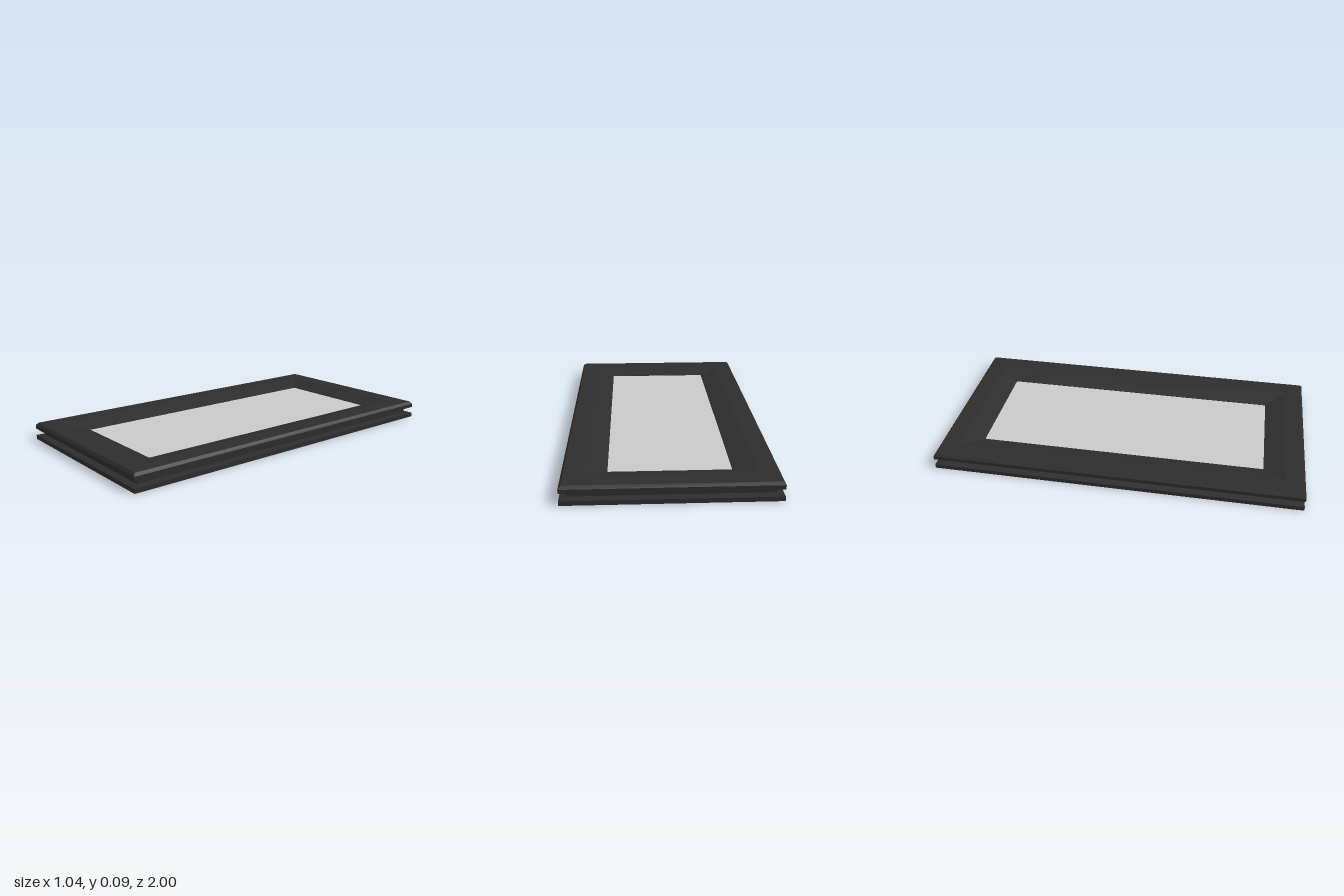
import * as THREE from 'three';

const HALF_W = 0.52, HALF_L = 1.0;

// Sweep a profile of [inset, height] pairs round a rectangle with mitred corners.
function mitredFrame(profile) {
  const corners = [[1, 1], [1, -1], [-1, -1], [-1, 1]];
  const at = ([sx, sz], [inset, y]) => [sx * (HALF_W - inset), y, sz * (HALF_L - inset)];
  const positions = [];
  corners.forEach((c, k) => {
    const next = corners[(k + 1) % 4];
    for (let i = 0; i < profile.length - 1; i++) {
      const a = at(c, profile[i]), b = at(next, profile[i]);
      const d = at(c, profile[i + 1]), e = at(next, profile[i + 1]);
      positions.push(...a, ...b, ...e, ...a, ...e, ...d);
    }
  });
  const geometry = new THREE.BufferGeometry();
  geometry.setAttribute('position', new THREE.Float32BufferAttribute(positions, 3));
  geometry.computeVertexNormals();
  return geometry;
}

// Flat plate given by its inset from the frame edge and its height range.
function plate(name, inset, y0, y1, material) {
  const geometry = new THREE.BoxGeometry(2 * (HALF_W - inset), y1 - y0, 2 * (HALF_L - inset));
  const mesh = new THREE.Mesh(geometry, material);
  mesh.position.y = (y0 + y1) / 2;
  mesh.name = name;
  return mesh;
}

export function createModel() {
  const group = new THREE.Group();
  group.name = 'pictureFrame';

  const charcoal = new THREE.MeshStandardMaterial({ color: 0x2d2d2d });
  charcoal.name = 'charcoal';
  const paleGrey = new THREE.MeshStandardMaterial({ color: 0xc9c9c9 });
  paleGrey.name = 'paleGrey';

  // Moulding: back rebate, lower lip, side groove, chamfered upper lip, inward slope
  const moulding = new THREE.Mesh(mitredFrame([
    [0.07, 0.012], [0.07, 0], [0, 0], [0, 0.023], [0.02, 0.026], [0.035, 0.029],
    [0.035, 0.056], [0.02, 0.056], [0, 0.06], [0, 0.081], [0.012, 0.095],
    [0.107, 0.095], [0.218, 0.064], [0.218, 0.056],
  ]), charcoal);
  moulding.name = 'moulding';
  group.add(moulding);

  // Recessed backing board and the picture panel
  group.add(plate('backingBoard', 0.07, 0.012, 0.02, charcoal));
  group.add(plate('picturePanel', 0.215, 0.055, 0.062, paleGrey));

  return group;
}
